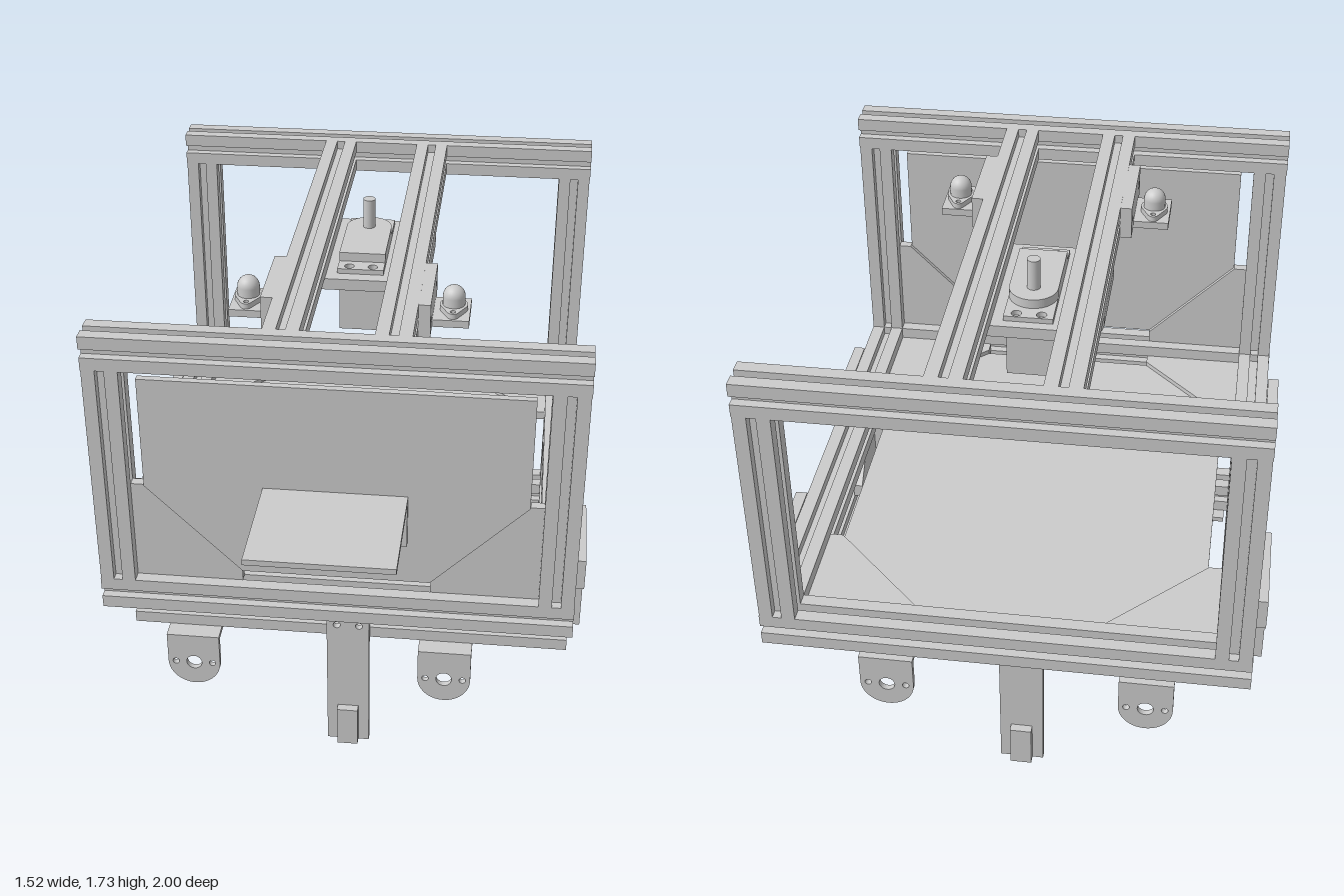
import * as THREE from 'three';

const W = 0.107; // width of the slotted profile
const material = new THREE.MeshStandardMaterial({ color: 0xcccccc, flatShading: true });
const smooth = new THREE.MeshStandardMaterial({ color: 0xcccccc });

export function createModel() {
  const root = new THREE.Group();

  const add = (name, geo, x, y, z, mat = material) => {
    const mesh = new THREE.Mesh(geo, mat);
    mesh.name = name;
    mesh.position.set(x, y, z);
    root.add(mesh);
    return mesh;
  };
  const box = (name, x0, x1, y0, y1, z0, z1) =>
    add(name, new THREE.BoxGeometry(x1 - x0, y1 - y0, z1 - z0), (x0 + x1) / 2, (y0 + y1) / 2, (z0 + z1) / 2);
  const cyl = (name, r, y0, y1, x, z) =>
    add(name, new THREE.CylinderGeometry(r, r, y1 - y0, 24), x, (y0 + y1) / 2, z, smooth);

  // Square profile with one slot in each side, extruded along an axis
  const h = W / 2, s = 0.0135, d = h - 0.028;
  const quarter = [[h, -h], [h, -s], [d, -s], [d, s], [h, s]];
  const section = [];
  for (let k = 0; k < 4; k++) {
    const c = [1, 0, -1, 0][k], n = [0, 1, 0, -1][k];
    for (const [x, y] of quarter) section.push(new THREE.Vector2(x * c - y * n, x * n + y * c));
  }
  const beam = (name, axis, from, to, x, y, z) => {
    const geo = new THREE.ExtrudeGeometry(new THREE.Shape(section), { depth: to - from, bevelEnabled: false });
    geo.translate(0, 0, from);
    if (axis === 'x') geo.rotateY(Math.PI / 2);
    if (axis === 'y') geo.rotateX(-Math.PI / 2);
    return add(name, geo, x, y, z);
  };

  // Flat plate with round holes [u, v, r]; plane 'xy', 'zy' or 'xz', centred at offset w
  const plate = (name, plane, outline, t, w, holes = []) => {
    const shape = outline instanceof THREE.Shape ? outline : new THREE.Shape(outline.map(p => new THREE.Vector2(...p)));
    for (const [u, v, r] of holes) shape.holes.push(new THREE.Path().absarc(u, v, r, 0, Math.PI * 2, true));
    const geo = new THREE.ExtrudeGeometry(shape, { depth: t, bevelEnabled: false, curveSegments: 20 });
    geo.translate(0, 0, -t / 2);
    if (plane === 'zy') geo.rotateY(-Math.PI / 2);
    if (plane === 'xz') geo.rotateX(Math.PI / 2);
    return add(name, geo, plane === 'zy' ? w : 0, plane === 'xz' ? w : 0, plane === 'xy' ? w : 0);
  };
  const rect = (u0, u1, v0, v1) => [[u0, v0], [u1, v0], [u1, v1], [u0, v1]];

  // Corner gusset: triangle with blunt tips, growing from corner (u, v) towards (su, sv)
  const gusset = (plane, u, v, su, sv, L, e, w) =>
    plate('cornerGusset', plane, [[0, 0], [L, 0], [L, e], [e, L], [0, L]].map(([a, b]) => [u + a * su, v + b * sv]), 0.03, w);

  const X = 0.667, zF = 0.612, zB = -0.942, yLow = 0.813, yTop = 1.645;
  const lF = 0.255, lB = -0.578, yBase = 0.485;

  // Upper frame
  for (const z of [zF, zB]) {
    beam('frameCrossBeam', 'x', -0.722, 0.722, 0, yLow, z);
    beam('frameCrossBeam', 'x', -0.722, 0.722, 0, yTop, z);
    for (const sx of [-1, 1]) beam('framePost', 'y', yLow + h, yTop - h, sx * X, 0, z);
  }
  for (const sx of [-1, 1]) {
    beam('frameSideBeam', 'z', zB + h, zF - h, sx * X, yLow, 0);
    beam('topRail', 'z', zB + h, zF - h, sx * 0.161, yTop, 0);
  }

  // Lower frame with uprights, T brackets and side gussets
  for (const z of [lF, lB]) beam('baseCrossBeam', 'x', -0.722, 0.722, 0, yBase, z);
  for (const sx of [-1, 1]) {
    beam('baseSideBeam', 'z', lB + h, lF - h, sx * X, yBase, 0);
    for (const z of [lF, lB]) {
      beam('upright', 'y', yBase + h, yLow - h, sx * X, 0, z);
      const inward = z === lF ? -1 : 1;
      gusset('zy', z + inward * h, yBase + h, inward, 1, 0.22, 0.045, sx * X);
      plate('teeBracket', 'zy',
        [[-0.16, 0.867], [-0.16, 0.762], [-h, 0.762], [-h, 0.54], [h, 0.54], [h, 0.762], [0.16, 0.762], [0.16, 0.867]]
          .map(([u, v]) => [z + u, v]),
        0.036, sx * 0.74,
        [[z - 0.11, 0.815, 0.013], [z, 0.815, 0.013], [z + 0.11, 0.815, 0.013], [z, 0.703, 0.013], [z, 0.608, 0.013]]);
    }
  }

  // Front panel and floor, corners cut to meet the gussets
  plate('frontPanel', 'xy',
    [[-0.285, 0.905], [0.285, 0.905], [0.572, 1.192], [0.572, 1.554], [-0.572, 1.554], [-0.572, 1.192]], 0.022, zF + 0.01);
  plate('floorPanel', 'xz',
    [[-0.285, -0.85], [0.285, -0.85], [0.572, -0.563], [0.572, 0.231], [0.285, 0.518], [-0.285, 0.518], [-0.572, 0.231], [-0.572, -0.563]],
    0.022, yLow - 0.01);
  for (const sx of [-1, 1]) {
    gusset('xy', sx * (X - h), yLow + h, -sx, 1, 0.327, 0.04, zF);
    gusset('xz', sx * (X - h), zF - h, -sx, -1, 0.327, 0.04, yLow);
    gusset('xz', sx * (X - h), zB + h, -sx, 1, 0.327, 0.04, yLow);
  }

  // Angle shelf on the front panel
  plate('shelfBack', 'xy', rect(-0.215, 0.215, 1.045, 1.195), 0.02, 0.643, [[-0.11, 1.127, 0.013], [0.11, 1.127, 0.013]]);
  box('shelf', -0.215, 0.215, 1.192, 1.21, 0.634, 1.0);

  // Motor hanging under the top rails on a rounded plate
  const r = 0.1, a = 0.215, b0 = -0.465, b1 = 0;
  const rounded = new THREE.Shape();
  rounded.absarc(a - r, b1 - r, r, 0, Math.PI / 2);
  rounded.absarc(-a + r, b1 - r, r, Math.PI / 2, Math.PI);
  rounded.absarc(-a + r, b0 + r, r, Math.PI, Math.PI * 1.5);
  rounded.absarc(a - r, b0 + r, r, Math.PI * 1.5, Math.PI * 2);
  plate('motorPlate', 'xz', rounded, 0.037, 1.573);
  box('motorBody', -0.073, 0.073, 1.373, 1.608, -0.385, -0.09);
  const motorHoles = [-0.415, -0.065].flatMap(z => [[-0.037, z, 0.015], [0.037, z, 0.015]]);
  plate('motorFlange', 'xz', rect(-0.073, 0.073, -0.435, -0.042), 0.016, 1.6, motorHoles);
  const cap = new THREE.Shape();
  cap.moveTo(0.073, -0.1);
  cap.lineTo(0.073, -0.312);
  cap.absarc(0, -0.312, 0.073, 0, Math.PI, true);
  cap.lineTo(-0.073, -0.1);
  plate('motorCap', 'xz', cap, 0.03, 1.622);
  cyl('motorShaft', 0.02, 1.62, 1.733, 0, -0.312);

  // Ball casters on angle brackets outside the top rails
  for (const sx of [-1, 1]) {
    const x = sx * 0.31, z = 0.217;
    plate('casterBracket', 'zy', rect(0.077, 0.362, 1.595, 1.698), 0.037, sx * 0.232, [[0.115, 1.643, 0.013], [0.33, 1.643, 0.013]]);
    box('casterFoot', sx * 0.305 - 0.055, sx * 0.305 + 0.055, 1.595, 1.618, 0.142, 0.295);
    const flange = new THREE.Shape();
    flange.absarc(x, z + 0.053, 0.017, 0.5, Math.PI - 0.5);
    flange.absarc(x, z, 0.042, Math.PI - 0.4, Math.PI + 0.4);
    flange.absarc(x, z - 0.053, 0.017, Math.PI + 0.5, Math.PI * 2 - 0.5);
    flange.absarc(x, z, 0.042, -0.4, 0.4);
    plate('casterFlange', 'xz', flange, 0.018, 1.626, [[x, z + 0.053, 0.008], [x, z - 0.053, 0.008]]);
    cyl('casterCup', 0.034, 1.618, 1.662, x, z);
    add('casterBall', new THREE.SphereGeometry(0.034, 24, 16), x, 1.662, z, smooth);
  }

  // Legs and round-ended hanging tabs, front and back
  for (const [f, z, tabs] of [[1, lF + h, [-0.517, 0.325]], [-1, lB - h, [-0.407, 0.435]]]) {
    plate('leg', 'xy', rect(-0.071, 0.071, 0, 0.54), 0.022, z + f * 0.011, [[-0.037, 0.488, 0.012], [0.037, 0.488, 0.012]]);
    const near = z + f * 0.022, far = z + f * 0.05;
    box('legPad', -0.035, 0.035, 0, 0.147, Math.min(near, far), Math.max(near, far));
    for (const x of tabs) {
      const zi = z - f * 0.15, zo = z + f * 0.063;
      box('tabMount', x - 0.088, x + 0.088, 0.415, 0.432, Math.min(zi, zo), Math.max(zi, zo));
      const tab = new THREE.Shape();
      tab.moveTo(x + 0.088, 0.418);
      tab.lineTo(x - 0.088, 0.418);
      tab.absarc(x, 0.322, 0.088, Math.PI, Math.PI * 2);
      plate('hangingTab', 'xy', tab, 0.02, zo - f * 0.01, [[x, 0.322, 0.026], [x - 0.062, 0.322, 0.011], [x + 0.062, 0.322, 0.011]]);
    }
  }
  return root;
}
